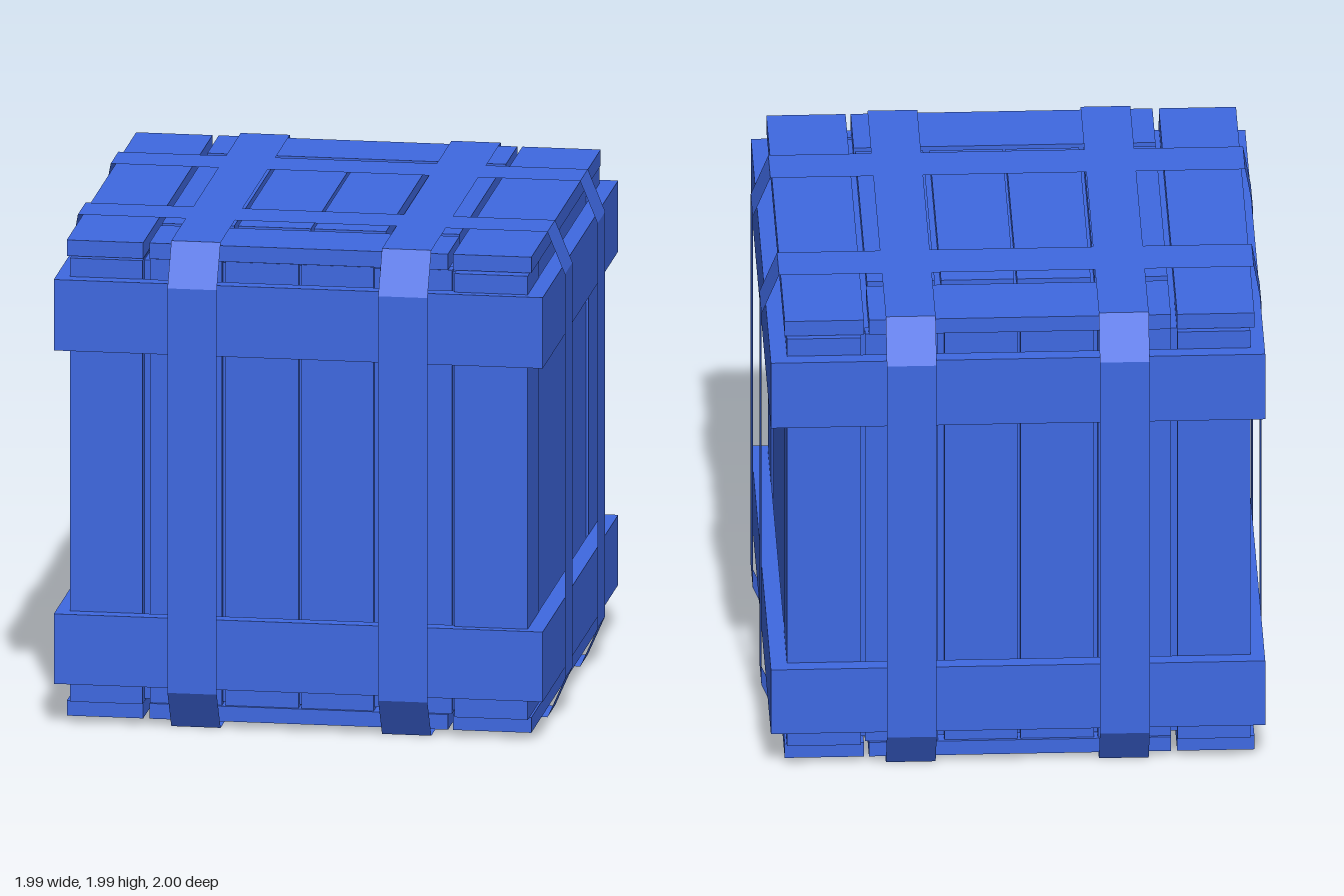
import * as THREE from 'three';

const blue = new THREE.MeshStandardMaterial({ color: 0x3f69e2, side: THREE.DoubleSide });

// Box given by its lower and upper limits on each axis
function board(parent, name, [x0, x1], [y0, y1], [z0, z1]) {
  const m = new THREE.Mesh(new THREE.BoxGeometry(x1 - x0, y1 - y0, z1 - z0), blue);
  m.position.set((x0 + x1) / 2, (y0 + y1) / 2, (z0 + z1) / 2);
  m.name = name;
  parent.add(m);
}

// Thin sheet strap: chamfered loop in the x-y plane, as wide as width along z
function strapGeometry(a0, a1, flat0, flat1, width) {
  const loop = [
    [flat0, 0], [flat1, 0], [a1, 0.16], [a1, 1.815],
    [flat1, 1.986], [flat0, 1.986], [a0, 1.815], [a0, 0.16],
  ];
  const pos = [];
  loop.forEach(([ax, ay], i) => {
    const [bx, by] = loop[(i + 1) % loop.length];
    pos.push(ax, ay, width, ax, ay, 0, bx, by, 0);
    pos.push(ax, ay, width, bx, by, 0, bx, by, width);
  });
  const g = new THREE.BufferGeometry();
  g.setAttribute('position', new THREE.Float32BufferAttribute(pos, 3));
  g.computeVertexNormals();
  return g;
}

export function createModel() {
  const crate = new THREE.Group();
  crate.name = 'crate';
  const add = (name) => {
    const g = new THREE.Group();
    g.name = name;
    crate.add(g);
    return g;
  };

  // Inner shell seen through the gaps
  board(crate, 'innerShell', [-0.87, 0.85], [0.1, 1.895], [-0.865, 0.865]);

  // Upright planks on the four walls
  const walls = add('wallPlanks');
  const tall = [0.09, 1.905];
  const slots = [[-0.62, -0.33], [-0.315, -0.022], [-0.01, 0.28], [0.305, 0.595]];
  for (const s of slots) {
    board(walls, 'frontPlank', s, tall, [0.83, 0.89]);
    board(walls, 'backPlank', s, tall, [-0.89, -0.83]);
  }
  for (const s of [[-0.625, -0.335], [-0.33, -0.022], [-0.016, 0.28], [0.286, 0.65]]) {
    board(walls, 'rightSidePlank', [-0.925, -0.86], tall, s);
  }
  board(walls, 'leftSidePanel', [0.84, 0.898], tall, [-0.625, 0.65]);

  // Corner posts
  for (const x of [[-0.935, -0.645], [0.612, 0.907]]) {
    board(walls, 'frontCornerPost', x, tall, [0.655, x[0] > 0 ? 0.942 : 0.921]);
    board(walls, 'backCornerPost', x, tall, [-0.921, -0.632]);
  }

  // Lid and base: a panel of planks set flush inside a frame
  for (const [name, y] of [['lid', [1.908, 1.973]], ['base', [0.027, 0.089]]]) {
    const g = add(name);
    for (const s of slots) board(g, name + 'Plank', [s[0], Math.min(s[1], 0.575)], y, [-0.565, 0.57]);
    board(g, name + 'FrameSide', [-0.952, -0.645], y, [-0.9, 0.9]);
    board(g, name + 'FrameSide', [0.6, 0.915], y, [-0.9, 0.9]);
    board(g, name + 'FrameEnd', [-0.62, 0.58], y, [-0.9, -0.603]);
    board(g, name + 'FrameEnd', [-0.62, 0.58], y, [0.603, 0.9]);
  }

  // Horizontal bands round the body
  for (const y of [[0.175, 0.461], [1.539, 1.829]]) {
    const g = add('band');
    board(g, 'bandFront', [-0.992, 0.973], y, [0.92, 0.98]);
    board(g, 'bandBack', [-0.992, 0.973], y, [-0.98, -0.92]);
    board(g, 'bandRightSide', [-0.992, -0.93], y, [-0.92, 0.92]);
    board(g, 'bandLeftSide', [0.905, 0.973], y, [-0.92, 0.92]);
  }

  // Straps running front to back, turned so their width runs along x
  const straps = add('straps');
  for (const x of [-0.532, 0.315]) {
    const m = new THREE.Mesh(strapGeometry(-1, 1, -0.9, 0.9, 0.198), blue);
    m.rotation.y = Math.PI / 2;
    m.position.x = x;
    m.name = 'strapFrontToBack';
    straps.add(m);
  }
  // Straps running side to side
  for (const z of [-0.52, 0.33]) {
    const m = new THREE.Mesh(strapGeometry(-0.996, 0.992, -0.965, 0.922, 0.198), blue);
    m.position.z = z;
    m.name = 'strapSideToSide';
    straps.add(m);
  }
  return crate;
}
